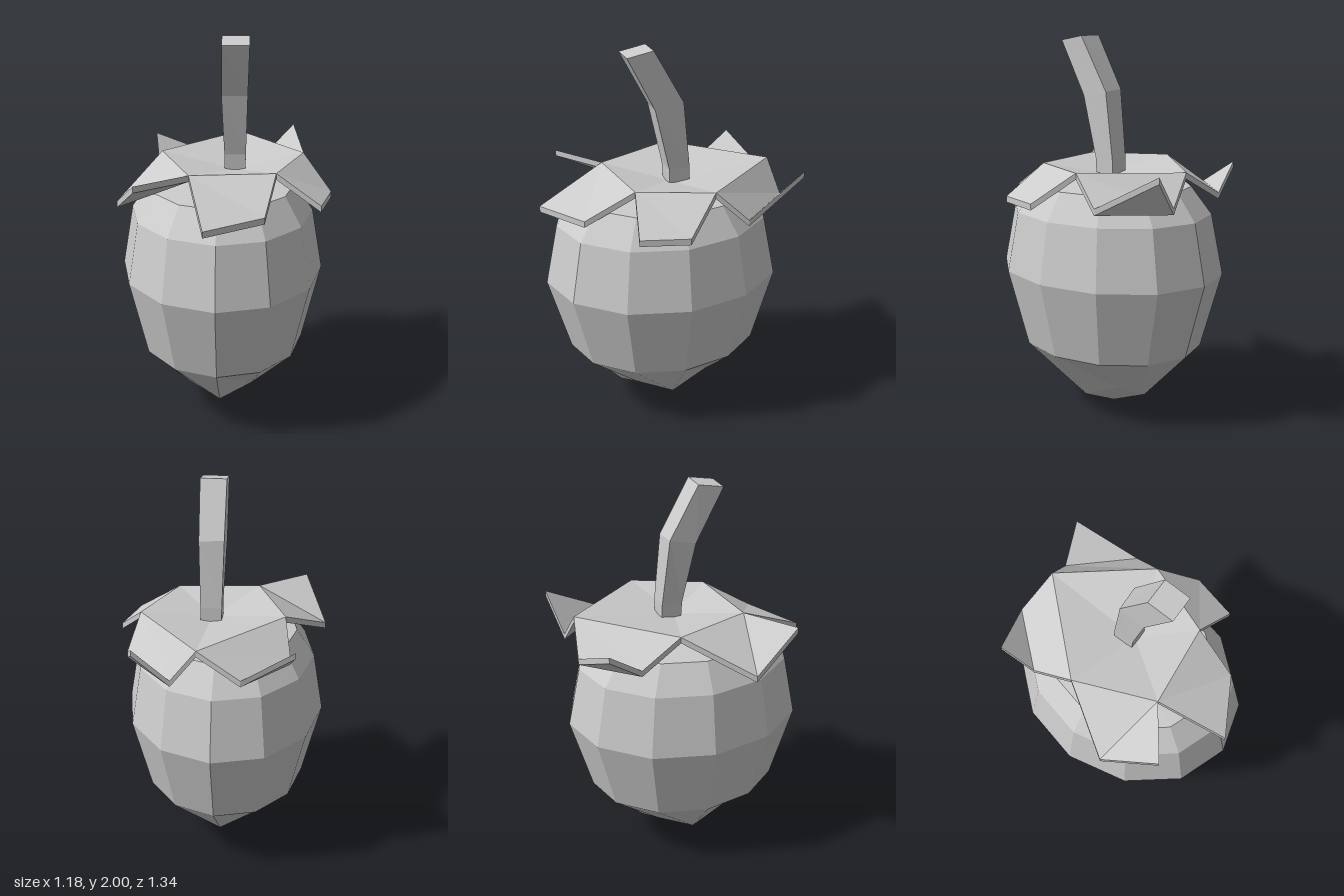
import * as THREE from 'three';

const material = new THREE.MeshStandardMaterial({ color: 0xcccccc, flatShading: true });

// Skins a stack of rings (bottom to top, each running from +x towards +z).
// An end is closed by a fan to its centre point, or from its first corner if none is given.
function loft(name, rings, bottomCentre, topCentre) {
  const pos = [];
  const tri = (a, b, c) => {
    const area = new THREE.Triangle(new THREE.Vector3(...a), new THREE.Vector3(...b), new THREE.Vector3(...c)).getArea();
    if (area > 1e-7) pos.push(...a, ...b, ...c);
  };
  for (let k = 0; k < rings.length - 1; k++) {
    const lo = rings[k], up = rings[k + 1];
    lo.forEach((p, i) => {
      const j = (i + 1) % lo.length;
      tri(p, up[i], up[j]);
      tri(p, up[j], lo[j]);
    });
  }
  const cap = (ring, centre, isTop) => ring.forEach((p, i) => {
    const q = ring[(i + 1) % ring.length], c = centre || ring[0];
    if (isTop) tri(c, q, p); else tri(c, p, q);
  });
  cap(rings[0], bottomCentre, false);
  cap(rings[rings.length - 1], topCentre, true);
  const geo = new THREE.BufferGeometry();
  geo.setAttribute('position', new THREE.Float32BufferAttribute(pos, 3));
  geo.computeVertexNormals();
  const mesh = new THREE.Mesh(geo, material);
  mesh.name = name;
  return mesh;
}

// Thin plate: an outline thickened downwards
const THICK = 0.032;
const lower = ([x, y, z]) => [x, y - THICK, z];
const plate = (name, outline, centre) =>
  loft(name, [outline.map(lower), outline], centre && lower(centre), centre);

// Point of the slightly skewed, round fruit section
function fruitPoint(angle, r, y) {
  const dx = r * Math.cos(angle);
  return [0.035 + dx, y, 0.052 + r * Math.sin(angle) + 0.18 * dx];
}

function createFruit() {
  const SIDES = 12;
  const angle = i => (i + 0.5) * Math.PI * 2 / SIDES;
  const rings = [];
  // lowest ring: corners merge in pairs on the axes, diagonals dip towards the tip
  rings.push(Array.from({ length: SIDES }, (_, i) => {
    if (i % 3 === 1) return fruitPoint(angle(i), 0.22, 0.10);
    const axis = Math.round(angle(i) / (Math.PI / 2)) * Math.PI / 2;
    return fruitPoint(axis, 0.255, 0.18);
  }));
  for (const [r, y] of [[0.468, 0.375], [0.573, 0.78], [0.513, 1.095], [0.41, 1.235]]) {
    rings.push(Array.from({ length: SIDES }, (_, i) => fruitPoint(angle(i), r, y)));
  }
  return loft('fruit', rings, [0.02, 0, 0.06], [0.04, 1.265, 0.05]);
}

function createLeafCrown() {
  const crown = new THREE.Group();
  crown.name = 'leafCrown';
  // rim corners of the dished middle
  const rim = [
    [-0.27, 1.36, -0.42], [0.26, 1.355, -0.33], [0.39, 1.35, 0.04],
    [0.10, 1.35, 0.36], [-0.29, 1.36, 0.165],
  ];
  const [a, b, c, d, e] = rim;
  crown.add(plate('crownCentre', rim, [0.07, 1.295, -0.01]));
  // folded leaves; each outline starts at a corner on its crease
  crown.add(
    plate('rightLeaf', [[-0.46, 1.235, 0.03], [-0.595, 1.355, -0.08], [-0.46, 1.235, -0.31], a, e]),
    plate('backLeaf', [[-0.19, 1.205, -0.52], [-0.09, 1.385, -0.67], [0.19, 1.205, -0.48], b, a]),
    plate('leftLeaf', [[0.48, 1.20, -0.29], [0.59, 1.20, -0.07], c, b]),
    plate('frontLeftLeaf', [[0.51, 1.205, 0.26], [0.40, 1.19, 0.57], d, c]),
    plate('frontRightLeaf', [d, [0.035, 1.35, 0.665], [-0.23, 1.185, 0.54], e]),
  );
  return crown;
}

function createStem() {
  return loft('stem', [
    [[0.12, 1.26, -0.03], [0.04, 1.26, 0.04], [-0.03, 1.26, -0.04], [0.05, 1.26, -0.11]],
    [[0.125, 1.38, -0.03], [0.045, 1.38, 0.045], [-0.03, 1.38, -0.035], [0.05, 1.38, -0.11]],
    [[0.18, 1.70, 0.02], [0.08, 1.70, 0.105], [-0.01, 1.73, 0.0], [0.08, 1.725, -0.09]],
    [[0.28, 1.975, 0.12], [0.18, 1.975, 0.21], [0.09, 2.0, 0.11], [0.19, 2.0, 0.02]],
  ]);
}

export function createModel() {
  const model = new THREE.Group();
  model.name = 'berry';
  model.add(createFruit(), createLeafCrown(), createStem());
  return model;
}
